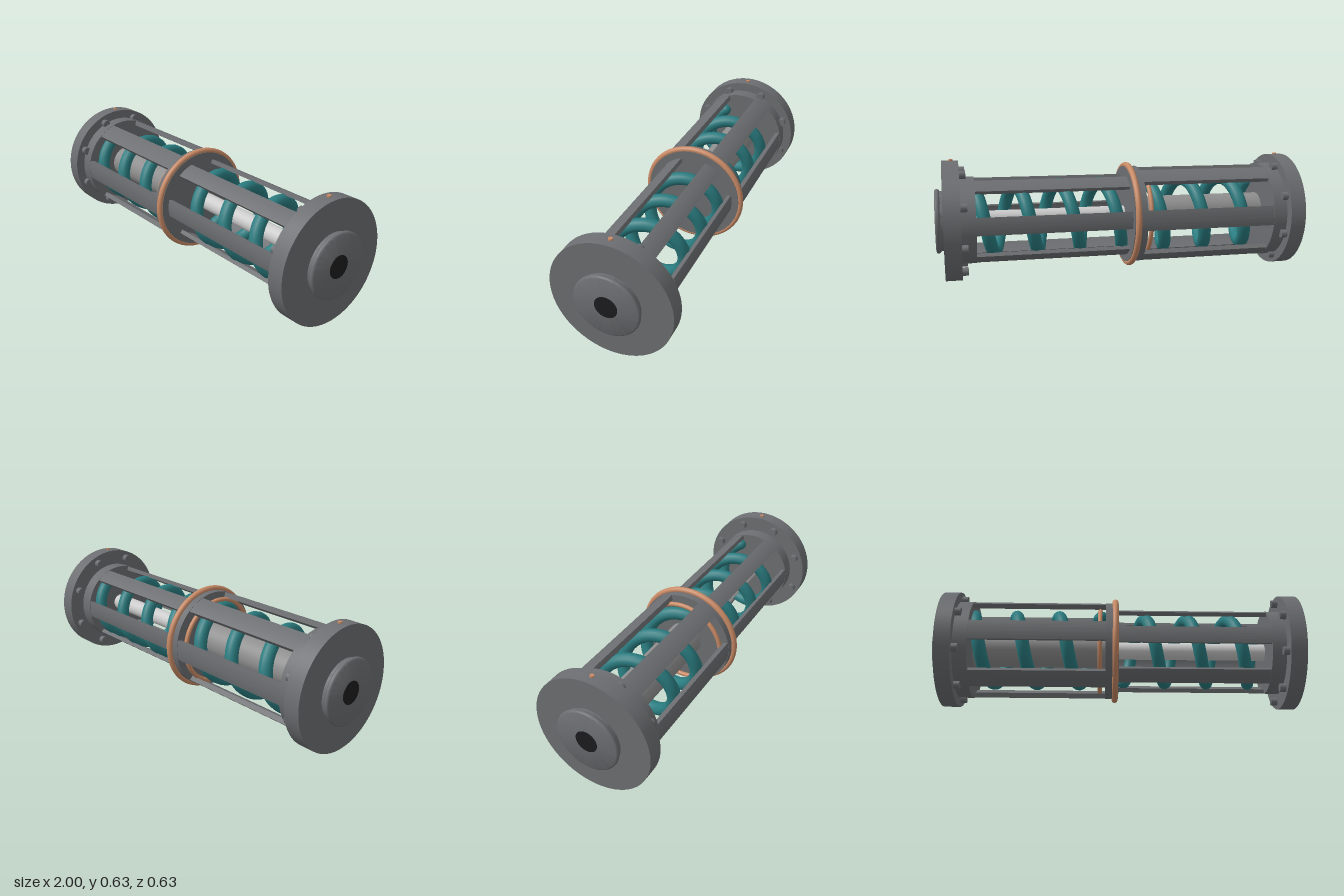
import * as THREE from 'three';
import { toCreasedNormals } from 'three/addons/utils/BufferGeometryUtils.js';

const mat = (color) => new THREE.MeshStandardMaterial({ color });
const STEEL = mat(0x6c6e71), CORE = mat(0x8f8f8f), ROD = mat(0xcccccc);
const TEAL = mat(0x2a7c80), COPPER = mat(0xc88a66), BLACK = mat(0x1c1c1e);

const AXIS_Y = 0.314;

export function createModel() {
  const model = new THREE.Group();
  const body = new THREE.Group();
  body.name = 'cylinderAssembly';
  body.position.y = AXIS_Y; // the long axis runs along x
  model.add(body);

  const add = (name, geometry, material) => {
    const mesh = new THREE.Mesh(geometry, material);
    mesh.name = name;
    body.add(mesh);
    return mesh;
  };

  // Solid disc or rod along x from x0 to x1
  const disc = (name, r, x0, x1, material, sides = 64) => {
    const g = new THREE.CylinderGeometry(r, r, Math.abs(x1 - x0), sides);
    g.rotateZ(-Math.PI / 2);
    g.translate((x0 + x1) / 2, 0, 0);
    return add(name, g, material);
  };

  // Ring seal around the x axis
  const ring = (name, R, r, x) => {
    const g = new THREE.TorusGeometry(R, r, 16, 80);
    g.rotateY(Math.PI / 2);
    g.translate(x, 0, 0);
    add(name, g, COPPER);
  };

  // Slotted sleeve: six curved bars spaced around the axis
  const sleeve = (name, outer, inner, x0, x1) => {
    const half = 0.207;
    for (let i = 0; i < 6; i++) {
      const a = (i * Math.PI) / 3;
      const s = new THREE.Shape();
      s.absarc(0, 0, outer, a - half, a + half, false);
      s.absarc(0, 0, inner, a + half, a - half, true);
      s.closePath();
      const g = new THREE.ExtrudeGeometry(s, { depth: x1 - x0, bevelEnabled: false, curveSegments: 8 });
      g.rotateY(Math.PI / 2);
      g.translate(x0, 0, 0);
      add(name, toCreasedNormals(g, 0.6), STEEL);
    }
  };

  // Coil spring; xTop is a point where a coil passes the top
  const spring = (name, R, r, x0, x1, xTop, pitch) => {
    const curve = new THREE.Curve();
    curve.getPoint = (t, target = new THREE.Vector3()) => {
      const x = x0 + (x1 - x0) * t;
      const a = ((x - xTop) / pitch) * Math.PI * 2;
      return target.set(x, R * Math.cos(a), R * Math.sin(a));
    };
    add(name, new THREE.TubeGeometry(curve, 200, r, 14), TEAL);
    for (const t of [0, 1]) {
      const cap = add(name + 'End', new THREE.SphereGeometry(r, 14, 10), TEAL);
      cap.position.copy(curve.getPoint(t));
    }
  };

  // Both ends: flange, grooved hub, bore, bolts and plug
  const hubProfile = [
    [0, 0.95], [0.157, 0.95], [0.157, 0.972], [0.164, 0.976],
    [0.168, 0.983], [0.168, 0.989], [0.165, 0.995], [0.159, 0.998], [0, 0.998],
  ].map(([r, h]) => new THREE.Vector2(r, h));

  for (const side of [-1, 1]) {
    disc('endFlange', 0.314, side * 0.872, side * 0.957, STEEL, 96);

    const hub = new THREE.LatheGeometry(hubProfile, 64);
    hub.rotateZ((-side * Math.PI) / 2);
    add('endHub', toCreasedNormals(hub, 0.7), STEEL);
    disc('endBore', 0.058, side * 0.98, side, BLACK, 48);

    for (let i = 0; i < 8; i++) {
      const a = ((i + 0.5) * Math.PI) / 4;
      const bolt = disc('flangeBolt', 0.022, side * 0.84, side * 0.875, STEEL, 20);
      bolt.position.set(0, 0.272 * Math.sin(a), 0.272 * Math.cos(a));
    }

    const plug = add('fillPlug', new THREE.CylinderGeometry(0.011, 0.011, 0.03, 20), COPPER);
    plug.position.set(side * 0.91, 0.306, 0);
  }

  // Wide half on the right hand, narrow half on the left hand
  disc('wideEndRing', 0.264, -0.88, -0.797, STEEL);
  disc('narrowEndRing', 0.228, 0.797, 0.88, STEEL);
  sleeve('wideSleeveBar', 0.262, 0.235, -0.8, -0.07);
  sleeve('narrowSleeveBar', 0.226, 0.204, -0.02, 0.8);

  // Middle collar with its seals
  disc('middleCollar', 0.264, -0.08, -0.01, STEEL);
  ring('collarRing', 0.27, 0.016, -0.028);
  ring('innerSeal', 0.227, 0.012, -0.11);

  // Inner core, sliding rod and springs
  disc('innerCore', 0.094, -0.8, -0.075, CORE);
  disc('slidingRod', 0.046, -0.02, 0.8, ROD, 48);
  spring('wideSpring', 0.184, 0.035, -0.795, -0.1, -0.585, 0.232);
  spring('narrowSpring', 0.174, 0.034, 0.02, 0.79, 0.118, 0.23);

  return model;
}
